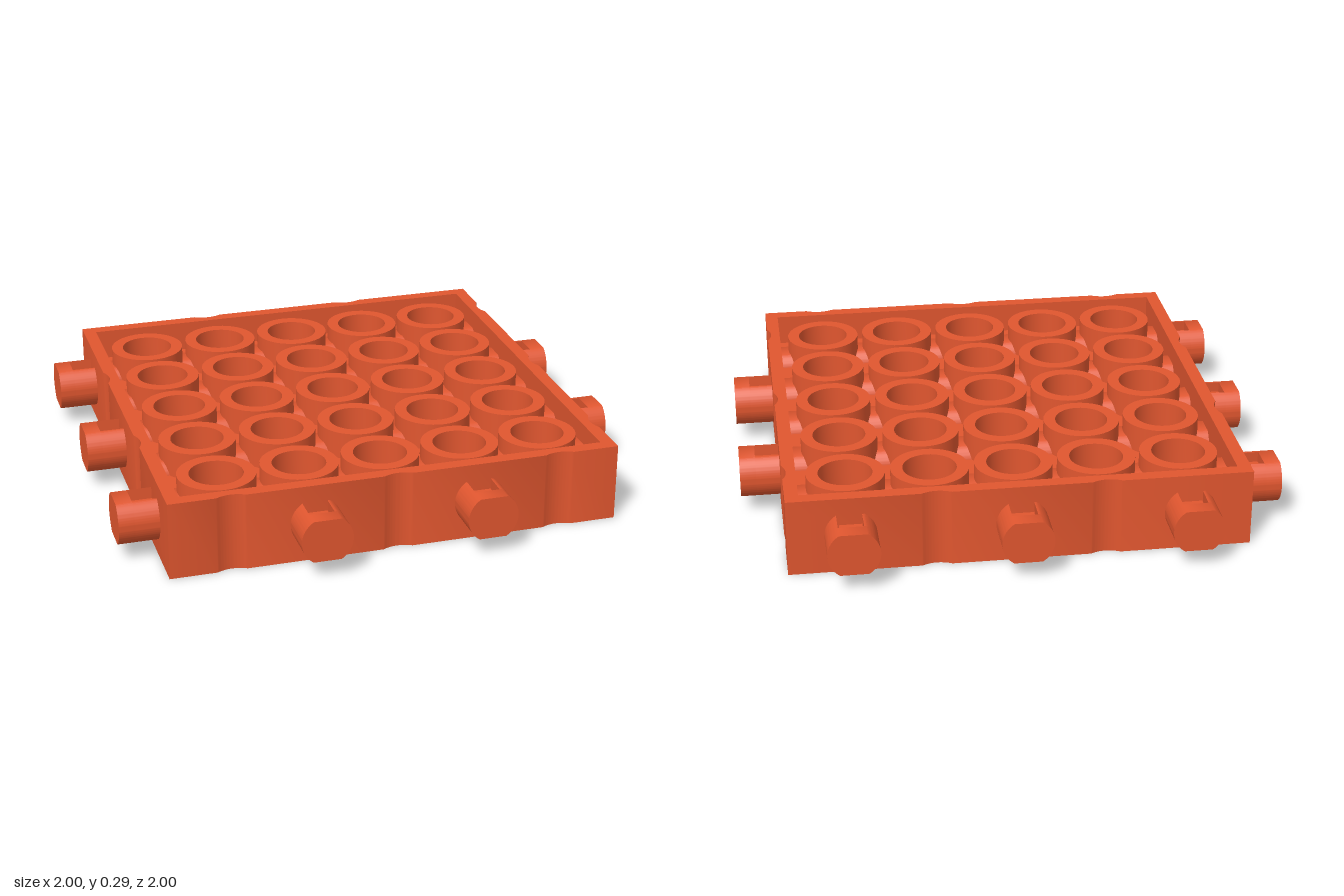
import * as THREE from 'three';
import { toCreasedNormals } from 'three/addons/utils/BufferGeometryUtils.js';

const PITCH = 0.31, HALF = 0.85, HEIGHT = 0.295, MID = 0.15;
const GRID = [-2, -1, 0, 1, 2].map(i => i * PITCH);
const material = new THREE.MeshStandardMaterial({ color: 0xe0562f });

function extrude(shape, depth) {
  const g = new THREE.ExtrudeGeometry(shape, { depth, bevelEnabled: false, curveSegments: 20 });
  return toCreasedNormals(g, 0.6);
}

// Extrude upward: shape y becomes -z
function slab(shape, bottom, height) {
  return extrude(shape, height).rotateX(-Math.PI / 2).translate(0, bottom, 0);
}

function add(parent, geometry, name) {
  const mesh = new THREE.Mesh(geometry, material);
  mesh.name = name;
  parent.add(mesh);
  return mesh;
}

function circle(x, y, r, Type = THREE.Path) {
  const c = new Type();
  c.absarc(x, y, r, 0, Math.PI * 2);
  return c;
}

function square(h, Type = THREE.Shape) {
  return new Type([[-h, -h], [h, -h], [h, h], [-h, h]].map(p => new THREE.Vector2(...p)));
}

// Round section with flattened top and bottom
function flatRound(r, h) {
  const a = Math.asin(h / r), s = new THREE.Shape();
  s.absarc(0, 0, r, -a, a);
  s.absarc(0, 0, r, Math.PI - a, Math.PI + a);
  return s;
}

// Outer wall, with shallow upright grooves opposite the peg positions
function frameGeometry() {
  const s = new THREE.Shape();
  for (let k = 0; k < 4; k++) {
    const turn = (t, d) => new THREE.Vector2(t, -HALF + d)
      .rotateAround(new THREE.Vector2(), k * Math.PI / 2).toArray();
    if (k === 0) s.moveTo(...turn(-HALF, 0));
    for (const t of k < 2 ? [-2, 0, 2] : [-1, 1]) {
      s.lineTo(...turn(t * PITCH - 0.055, 0));
      s.quadraticCurveTo(...turn(t * PITCH, 0.03), ...turn(t * PITCH + 0.055, 0));
    }
    s.lineTo(...turn(HALF, 0));
  }
  s.holes.push(square(0.8, THREE.Path));
  return slab(s, 0, HEIGHT);
}

// Peg pointing along +z from the wall face
function makePeg() {
  const peg = new THREE.Group();
  peg.name = 'peg';
  const r = 0.095, h = 0.08, slot = 0.042, neck = 0.09;
  add(peg, extrude(flatRound(r, h), 0.06).translate(0, 0, neck), 'pegHead');
  // Side cheeks leave a slot above and below the middle web
  const a = Math.asin(h / r);
  for (const side of [1, -1]) {
    const cheek = new THREE.Shape();
    cheek.moveTo(slot, -h);
    cheek.absarc(0, 0, r, -a, a);
    cheek.lineTo(slot, h);
    const g = extrude(cheek, neck + 0.02);
    if (side < 0) g.rotateZ(Math.PI);
    add(peg, g.translate(0, 0, -0.02), 'pegCheek');
  }
  const web = new THREE.Shape([[-slot, 0.02], [-slot, -neck], [slot, -neck], [slot, 0.02]]
    .map(p => new THREE.Vector2(...p)));
  web.holes.push(circle(0, -0.055, 0.024));
  add(peg, slab(web, -0.04, 0.08), 'pegWeb');
  return peg;
}

export function createModel() {
  const model = new THREE.Group();
  model.name = 'connectorTile';
  add(model, frameGeometry(), 'frame');

  // Floor between the tubes
  const floor = square(0.81);
  for (const x of GRID) for (const z of GRID) floor.holes.push(circle(x, z, 0.12));
  add(model, slab(floor, 0.125, 0.05), 'floor');

  // Grid of open tubes
  const ring = circle(0, 0, 0.145, THREE.Shape);
  ring.holes.push(circle(0, 0, 0.1));
  const tube = slab(ring, 0, 0.28);
  for (const x of GRID) for (const z of GRID) add(model, tube, 'tube').position.set(x, 0, z);

  // Short bars joining neighbouring tubes and the frame
  const bar = extrude(flatRound(0.08, 0.068), 0.07).translate(0, 0, -0.035);
  for (const across of GRID) {
    for (let i = 0; i < 6; i++) {
      const along = (i - 2.5) * PITCH;
      add(model, bar, 'bar').position.set(across, MID, along);
      const b = add(model, bar, 'bar');
      b.position.set(along, MID, across);
      b.rotation.y = Math.PI / 2;
    }
  }

  // Pegs: two on front and left sides, three on the back and right sides
  for (let k = 0; k < 4; k++) {
    const row = new THREE.Group();
    row.name = 'pegRow';
    row.rotation.y = k * Math.PI / 2;
    for (const t of k < 2 ? [-1, 1] : [-2, 0, 2]) {
      const peg = makePeg();
      peg.position.set(t * PITCH, MID, HALF);
      row.add(peg);
    }
    model.add(row);
  }
  return model;
}
